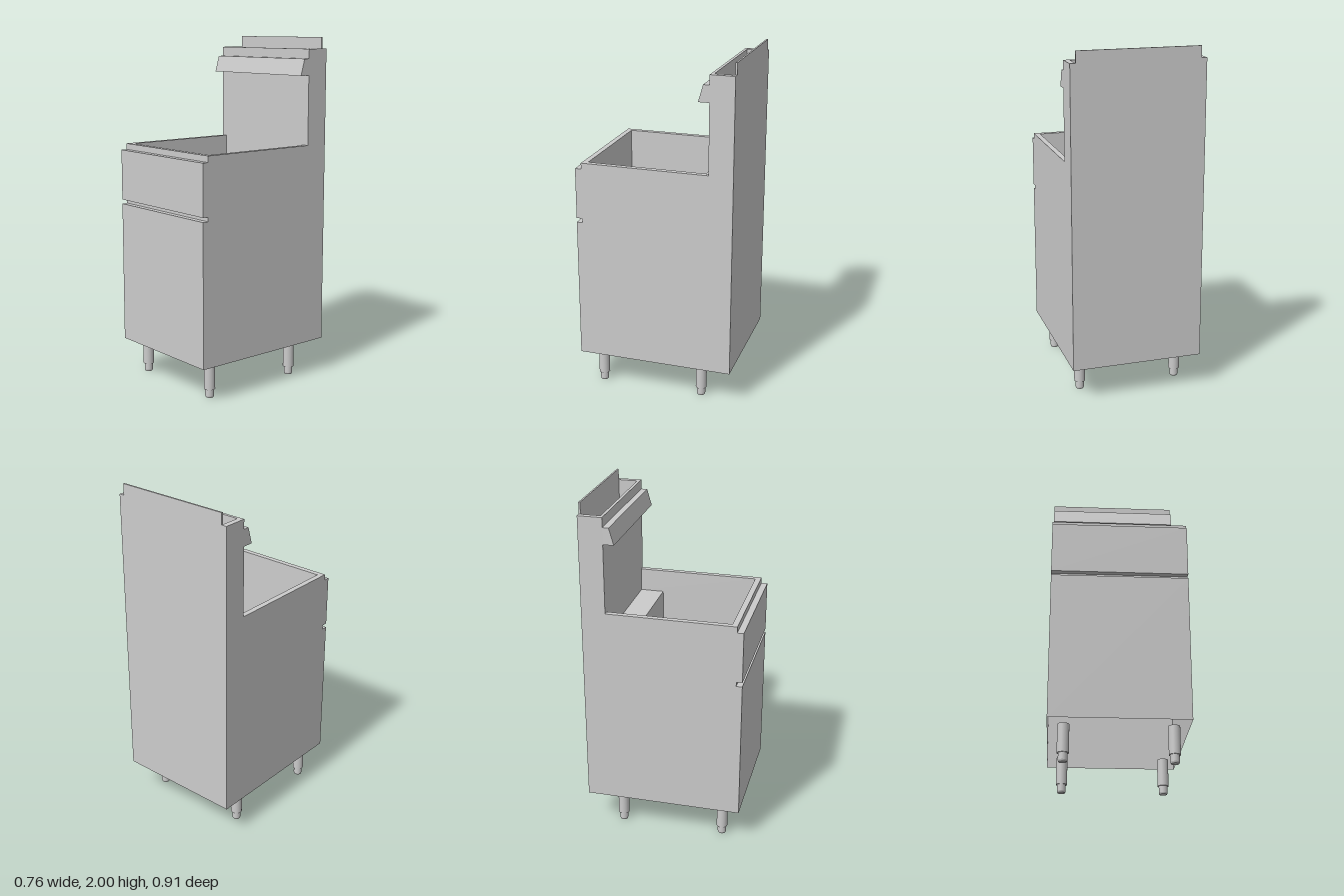
import * as THREE from 'three';

const W = 0.38;        // outer half width
const WI = 0.348;      // half width of the tank and flue openings
const BASE = 0.205, DECK = 1.385, TOP = 1.935, BACK = -0.457;

const sheet = new THREE.MeshStandardMaterial({ color: 0xcccccc, side: THREE.DoubleSide });

// Profiles are lists of [z, y] points.
const cabinetFront = [
  [0.458, BASE], [0.458, 1.03], [0.424, 1.03], [0.424, 1.055],
  [0.458, 1.055], [0.458, 1.35], [0.422, 1.35], [0.422, DECK],
];
const tank = [[0.39, DECK], [0.39, 0.95], [-0.18, 0.95], [-0.18, 1.25], [-0.318, 1.25], [-0.318, DECK]];
const flue = [[-0.335, TOP], [-0.335, 1.3], [-0.447, 1.3], [-0.447, TOP]];
const flueLip = [[-0.447, TOP], [-0.447, 2], [BACK, 2], [BACK, TOP]];
const hood = [[-0.318, 1.785], [-0.256, 1.785], [-0.283, 1.88], [-0.318, 1.88]];

// Folded sheet: sweeps a profile across x from x0 to x1.
function strip(profile, x0, x1) {
  const pos = [];
  for (let i = 0; i < profile.length - 1; i++) {
    const [za, ya] = profile[i], [zb, yb] = profile[i + 1];
    pos.push(x0, ya, za, x1, ya, za, x1, yb, zb);
    pos.push(x0, ya, za, x1, yb, zb, x0, yb, zb);
  }
  const g = new THREE.BufferGeometry();
  g.setAttribute('position', new THREE.Float32BufferAttribute(pos, 3));
  g.computeVertexNormals();
  return g;
}

// Flat side plate filling a closed profile at a given x.
function plate(profile, x) {
  const shape = new THREE.Shape(profile.map(([z, y]) => new THREE.Vector2(-z, y)));
  const g = new THREE.ShapeGeometry(shape);
  g.rotateY(Math.PI / 2);
  if (x < 0) g.scale(-1, 1, 1), flip(g);
  return g.translate(x, 0, 0);
}

// Reverses face winding after mirroring.
function flip(g) {
  const a = g.index.array;
  for (let i = 0; i < a.length; i += 3) [a[i], a[i + 1]] = [a[i + 1], a[i]];
  g.computeVertexNormals();
}

export function createModel() {
  const model = new THREE.Group();
  model.name = 'deepFryer';
  const add = (name, geometry, parent = model) => {
    const m = new THREE.Mesh(geometry, sheet);
    m.name = name;
    parent.add(m);
    return m;
  };

  // Cabinet shell, open underneath
  add('cabinetFront', strip([...cabinetFront, [0.39, DECK]], -W, W));
  add('backPanel', strip([[BACK, TOP], [BACK, BASE]], -W, W));
  add('riserFront', strip([[-0.318, DECK], [-0.318, TOP], [-0.335, TOP]], -W, W));
  const sideProfile = [...cabinetFront, [-0.318, DECK], [-0.318, TOP], [BACK, TOP], [BACK, BASE]];

  // Sunken tank with rear ledge, open flue and raised rear lip
  add('tank', strip(tank, -WI, WI));
  add('flue', strip(flue, -WI, WI));
  add('flueLip', strip(flueLip, -WI, WI));
  add('hood', strip([...hood, hood[0]], -W, W));

  for (const s of [-1, 1]) {
    const side = s < 0 ? 'right' : 'left';
    const rim = s < 0 ? [-W, -WI] : [WI, W];
    add(side + 'SidePanel', plate(sideProfile, s * W));
    add(side + 'TankRim', strip([[0.39, DECK], [-0.318, DECK]], ...rim));
    add(side + 'FlueRim', strip([[-0.335, TOP], [BACK, TOP]], ...rim));
    add(side + 'TankWall', plate(tank, s * WI));
    add(side + 'FlueWall', plate(flue, s * WI));
    add(side + 'LipEnd', plate(flueLip, s * WI));
    add(side + 'HoodEnd', plate(hood, s * W));

    // Legs with narrower adjustable feet
    for (const [end, z] of [['Front', 0.345], ['Rear', -0.265]]) {
      const leg = new THREE.Group();
      leg.name = side + end + 'Leg';
      leg.position.set(s * 0.293, 0, z);
      add('legTube', new THREE.CylinderGeometry(0.032, 0.032, 0.157, 24).translate(0, 0.1265, 0), leg);
      add('footNeck', new THREE.CylinderGeometry(0.025, 0.025, 0.038, 24).translate(0, 0.029, 0), leg);
      add('footPad', new THREE.CylinderGeometry(0.025, 0.022, 0.01, 24).translate(0, 0.005, 0), leg);
      model.add(leg);
    }
  }
  return model;
}
